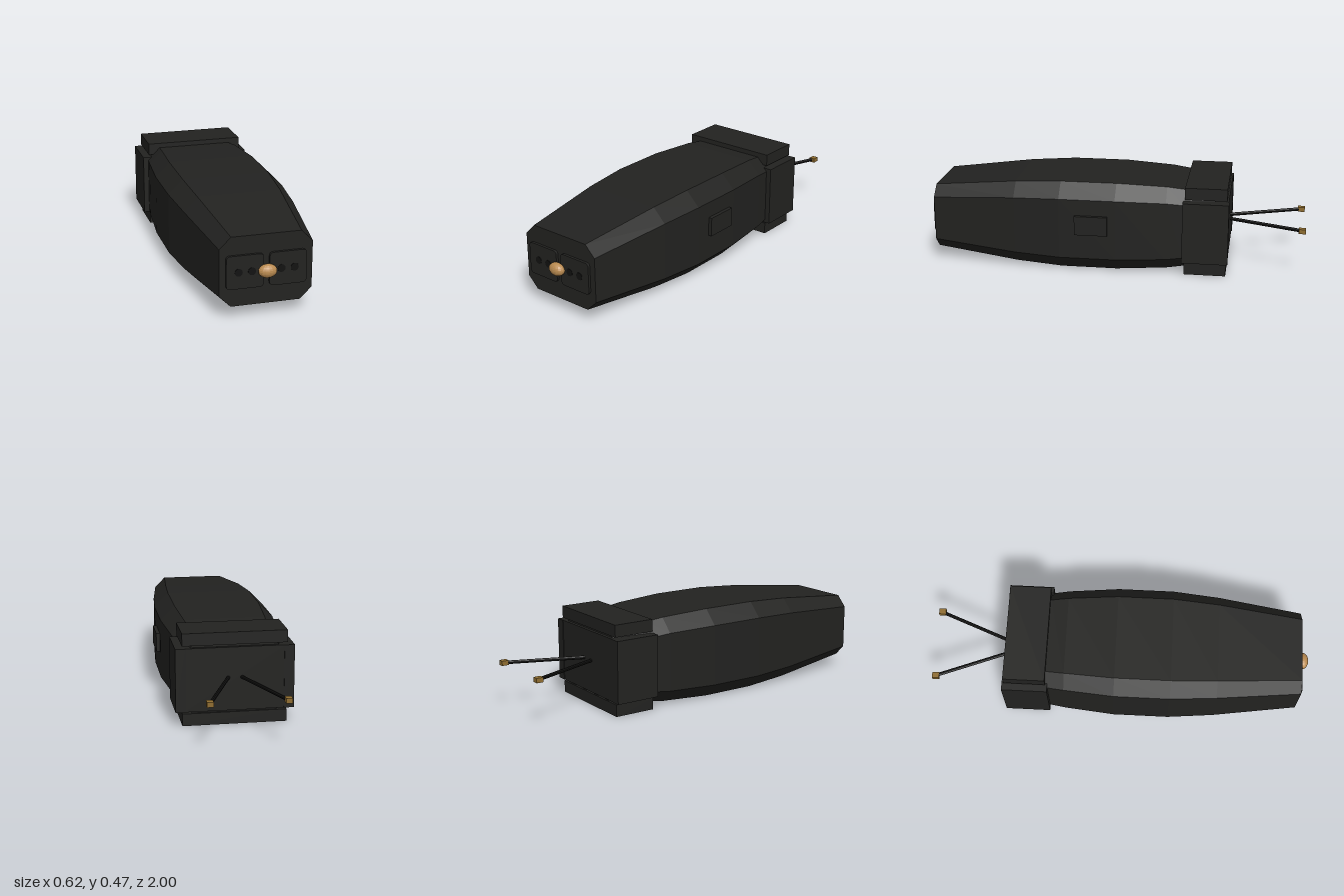
import * as THREE from 'three';

const CX = -0.01, CY = 0.235;
const mat = (color) => new THREE.MeshStandardMaterial({ color, flatShading: true });

// Chamfered-rectangle outline, counter-clockwise seen from +z
const octagon = (w, h, c) => [
  [w, -h + c], [w, h - c], [w - c, h], [-w + c, h],
  [-w, h - c], [-w, -h + c], [-w + c, -h], [w - c, -h],
];

// Skin octagonal sections [z, halfWidth, halfHeight], ordered back to front
function loft(sections) {
  const pos = [], idx = [], n = 8, last = (sections.length - 1) * n;
  for (const [z, w, h] of sections)
    for (const [x, y] of octagon(w, h, w * 0.25)) pos.push(x, y, z);
  for (let s = 0; s < sections.length - 1; s++)
    for (let i = 0; i < n; i++) {
      const a = s * n + i, b = s * n + (i + 1) % n;
      idx.push(a, b, b + n, a, b + n, a + n);
    }
  for (let i = 1; i < n - 1; i++)
    idx.push(0, i + 1, i, last, last + i, last + i + 1);
  const g = new THREE.BufferGeometry();
  g.setAttribute('position', new THREE.Float32BufferAttribute(pos, 3));
  g.setIndex(idx);
  g.computeVertexNormals();
  return g;
}

export function createModel() {
  const root = new THREE.Group();
  root.name = 'handheldDevice';
  const dark = mat(0x222220), black = mat(0x111110);
  const bronze = mat(0xb98a50), gold = mat(0x8f6d30);

  const add = (name, geo, material, x, y, z) => {
    const m = new THREE.Mesh(geo, material);
    m.name = name;
    m.position.set(x, y, z);
    root.add(m);
    return m;
  };
  const box = (name, w, h, d, material, x, y, z) =>
    add(name, new THREE.BoxGeometry(w, h, d), material, x, y, z);

  // Barrel-shaped tapering body
  add('body', loft([
    [-0.59, 0.245, 0.195], [-0.38, 0.265, 0.208], [-0.29, 0.277, 0.22],
    [-0.03, 0.3, 0.233], [0.26, 0.3, 0.233], [0.5, 0.28, 0.219], [0.94, 0.225, 0.172],
  ]), dark, CX, CY, 0);

  // Rear cap: core, side slabs and top and bottom blocks
  box('rearCore', 0.5, 0.32, 0.23, dark, CX, CY, -0.492);
  for (const s of [-1, 1]) {
    box('rearSideSlab', 0.05, 0.32, 0.235, dark, CX + s * 0.268, CY, -0.4925);
    box('rearBlock', 0.518, 0.062, 0.215, dark, CX, CY + s * 0.202, -0.4925);
  }

  // Side button
  box('sideButton', 0.04, 0.1, 0.17, dark, 0.289, 0.26, 0.092);

  // Front plates with rounded corners, each with two sockets
  const w = 0.09, h = 0.082, r = 0.02;
  const plate = new THREE.Shape();
  plate.moveTo(-w + r, -h);
  plate.lineTo(w - r, -h);
  plate.quadraticCurveTo(w, -h, w, -h + r);
  plate.lineTo(w, h - r);
  plate.quadraticCurveTo(w, h, w - r, h);
  plate.lineTo(-w + r, h);
  plate.quadraticCurveTo(-w, h, -w, h - r);
  plate.lineTo(-w, -h + r);
  plate.quadraticCurveTo(-w, -h, -w + r, -h);
  const plateGeo = new THREE.ExtrudeGeometry(plate, { depth: 0.02, bevelEnabled: false, curveSegments: 4 });
  for (const s of [-1, 1]) {
    add('frontPlate', plateGeo, dark, CX + s * 0.104, CY, 0.933);
    for (const d of [0.071, 0.135]) {
      const socket = add('frontSocket', new THREE.CylinderGeometry(0.019, 0.019, 0.02, 16),
        black, CX + s * d, CY, 0.945);
      socket.rotation.x = Math.PI / 2;
    }
  }

  // Oval bronze knob
  const knob = add('frontKnob', new THREE.SphereGeometry(1, 16, 12), bronze, CX, CY, 0.966);
  knob.scale.set(0.045, 0.033, 0.03);

  // Splayed rear prongs with gold tips
  for (const s of [-1, 1]) {
    const a = new THREE.Vector3(CX + s * 0.028, 0.242, -0.59);
    const b = new THREE.Vector3(CX + s * 0.18, 0.242, -0.98);
    const rod = new THREE.CylinderGeometry(0.009, 0.009, a.distanceTo(b), 8);
    const mid = a.clone().add(b).multiplyScalar(0.5);
    const prong = add('rearProng', rod, black, mid.x, mid.y, mid.z);
    prong.quaternion.setFromUnitVectors(new THREE.Vector3(0, 1, 0), b.clone().sub(a).normalize());
    box('prongTip', 0.031, 0.024, 0.036, gold, CX + s * 0.182, 0.242, -0.982);
  }
  return root;
}
